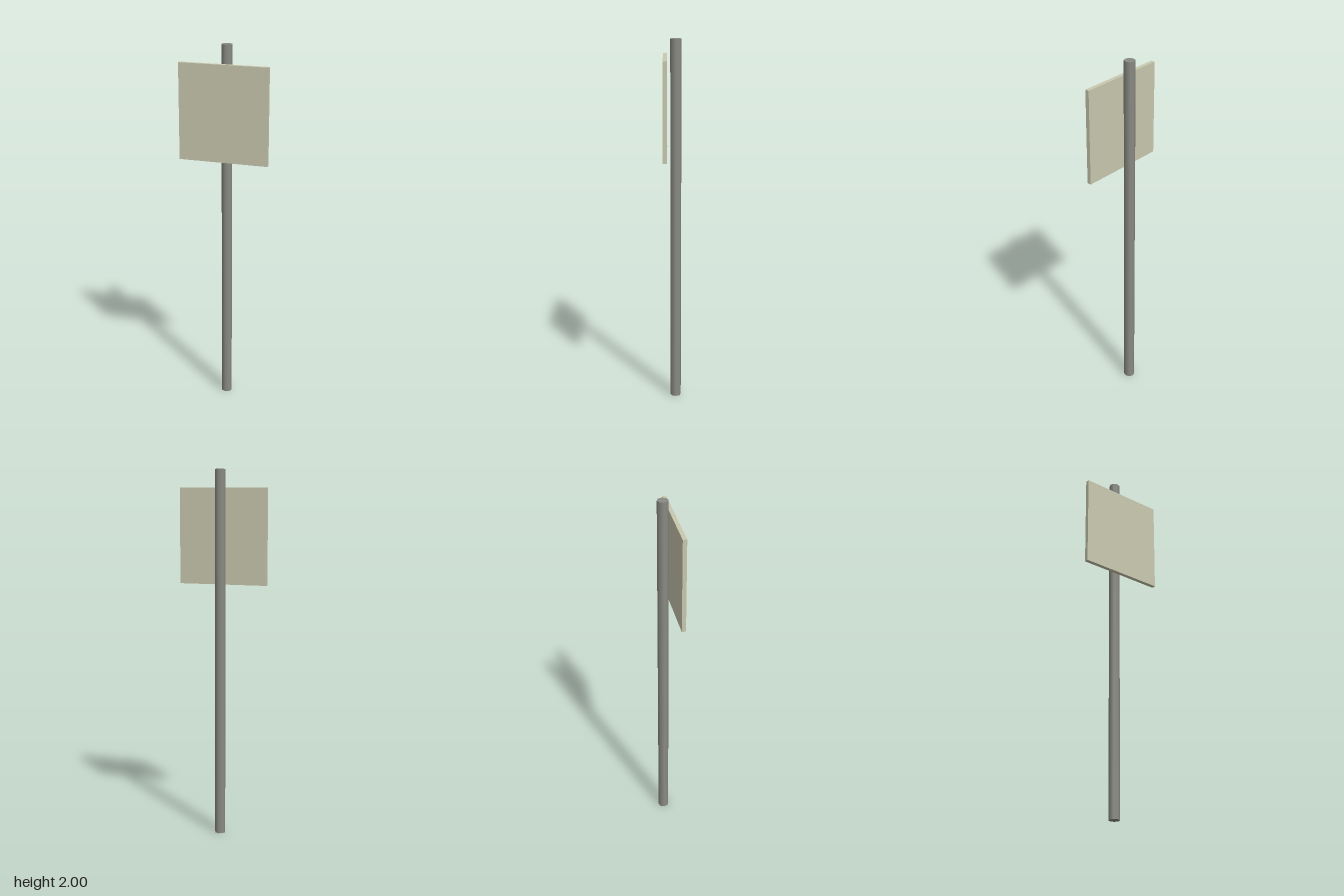
import * as THREE from 'three';

export function createModel() {
  const group = new THREE.Group();
  group.name = 'signPost';

  const poleGrey = new THREE.MeshStandardMaterial({ color: 0x8b8b84 });
  poleGrey.name = 'poleGrey';
  const panelBeige = new THREE.MeshStandardMaterial({ color: 0xc9c8ae });
  panelBeige.name = 'panelBeige';

  // Eight-sided upright pole, slightly behind centre
  const pole = new THREE.Mesh(new THREE.CylinderGeometry(0.0295, 0.0295, 2, 8), poleGrey);
  pole.name = 'pole';
  pole.position.set(0, 1, -0.02);
  group.add(pole);

  // Flat sign panel standing just in front of the pole
  const panel = new THREE.Mesh(new THREE.BoxGeometry(0.487, 0.518, 0.022), panelBeige);
  panel.name = 'signPanel';
  panel.position.set(0, 1.645, 0.0375);
  group.add(panel);

  return group;
}
